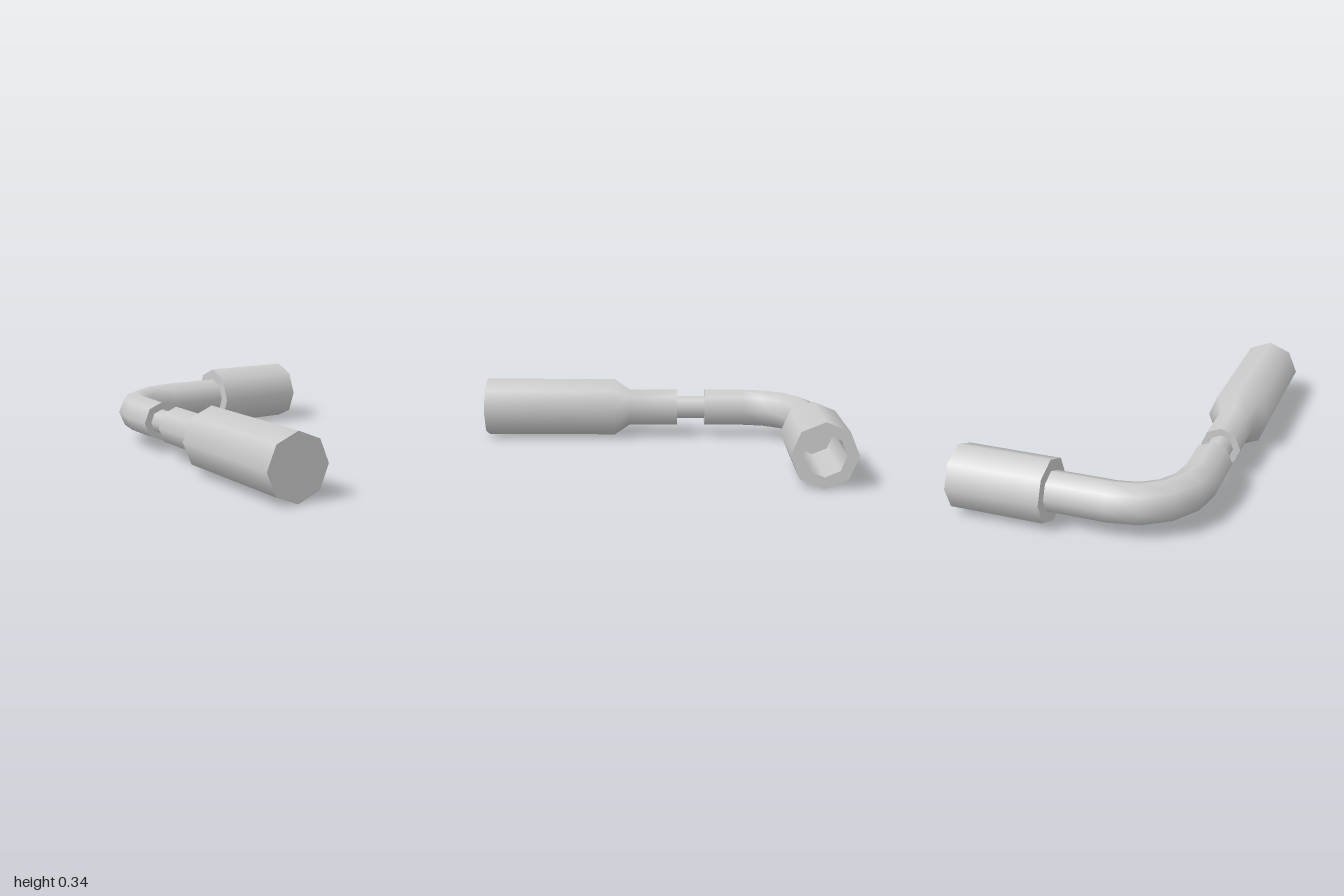
import * as THREE from 'three';
import { mergeGeometries } from 'three/addons/utils/BufferGeometryUtils.js';

const SIDES = 8;
const AXIS_Y = 0.168, HANDLE_X = -0.487, SOCKET_Z = -0.832;
const THICK = 0.168, SHAFT = 0.106, NECK = 0.067;
const material = new THREE.MeshStandardMaterial({ color: 0xcccccc });

// Turned solid: each strip of [radius, height] points is smooth, edges between strips stay sharp
function turned(name, strips) {
  const parts = strips.map(s =>
    new THREE.LatheGeometry(s.map(([r, h]) => new THREE.Vector2(r, h)), SIDES));
  const mesh = new THREE.Mesh(mergeGeometries(parts), material);
  mesh.name = name;
  return mesh;
}

// Octagonal shaft with a quarter bend, made by re-laying the rings of a cylinder
function bentShaftGeometry() {
  const bend = 0.332, cx = HANDLE_X + bend, cz = SOCKET_Z + bend, steps = 4;
  const stations = [{ x: HANDLE_X, z: -0.28, a: 0 }];
  for (let i = 0; i <= steps; i++) {
    const a = (i / steps) * Math.PI / 2;
    stations.push({ x: cx - bend * Math.cos(a), z: cz - bend * Math.sin(a), a });
  }
  stations.push({ x: 0.17, z: SOCKET_Z, a: Math.PI / 2 });

  const last = stations.length - 1;
  const geo = new THREE.CylinderGeometry(SHAFT, SHAFT, 1, SIDES, last, true);
  const pos = geo.attributes.position, nor = geo.attributes.normal;
  for (let i = 0; i < pos.count; i++) {
    const { x, z, a } = stations[last - Math.floor(i / (SIDES + 1))];
    const c = Math.cos(a), s = Math.sin(a);
    const side = pos.getX(i), up = pos.getZ(i);
    const nSide = nor.getX(i), nUp = nor.getZ(i);
    pos.setXYZ(i, x + c * side, AXIS_Y + up, z + s * side);
    nor.setXYZ(i, c * nSide, nUp, s * nSide);
  }
  // Flat end towards the neck
  const cap = new THREE.CircleGeometry(SHAFT, SIDES).translate(HANDLE_X, AXIS_Y, -0.28);
  return mergeGeometries([geo, cap]);
}

export function createModel() {
  const group = new THREE.Group();
  group.name = 'angledSocketWrench';

  // Handle with tapered shoulder, running along +z
  const handle = turned('handle', [
    [[0, -0.12], [SHAFT, -0.12]],
    [[SHAFT, -0.12], [SHAFT, 0.16], [THICK, 0.25], [THICK, 1]],
    [[THICK, 1], [0, 1]],
  ]);
  handle.rotation.x = Math.PI / 2;
  handle.position.set(HANDLE_X, AXIS_Y, 0);

  // Thin neck joining handle and shaft
  const neck = turned('neck', [[[NECK, -0.29], [NECK, -0.11]]]);
  neck.rotation.x = Math.PI / 2;
  neck.position.set(HANDLE_X, AXIS_Y, 0);

  // Bent shaft
  const shaft = new THREE.Mesh(bentShaftGeometry(), material);
  shaft.name = 'bentShaft';

  // Hollow socket opening towards +x
  const bore = 0.108, floor = 0.2;
  const socket = turned('socket', [
    [[0, 0.16], [THICK, 0.16]],
    [[THICK, 0.16], [THICK, 0.655]],
    [[THICK, 0.655], [bore, 0.655]],
    [[bore, 0.655], [bore, floor]],
    [[bore, floor], [0, floor]],
  ]);
  socket.rotation.z = -Math.PI / 2;
  socket.position.set(0, AXIS_Y, SOCKET_Z);

  group.add(handle, neck, shaft, socket);
  return group;
}
